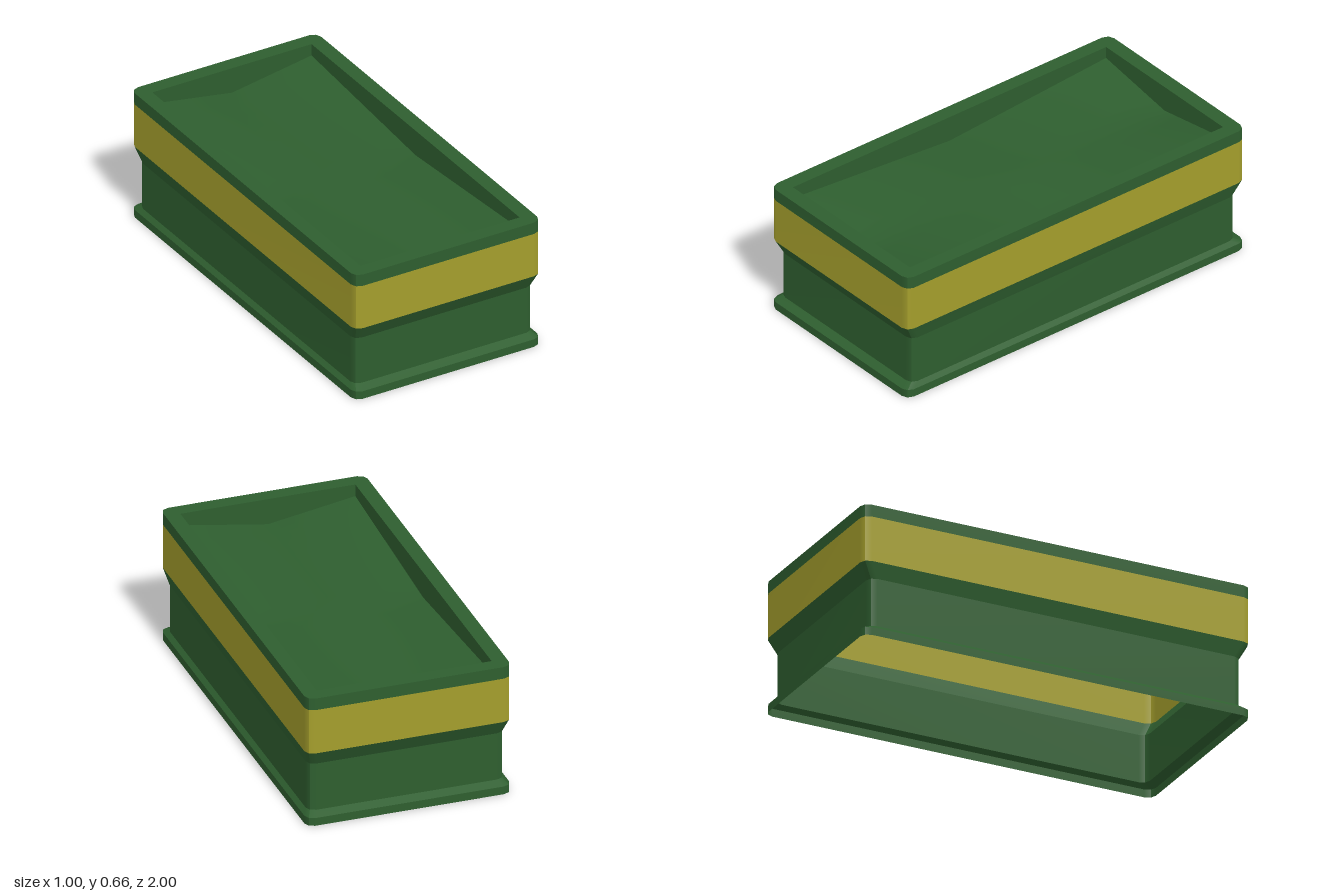
import * as THREE from 'three';

const green = new THREE.MeshStandardMaterial({ color: 0x2e5e2f, side: THREE.DoubleSide });
const yellow = new THREE.MeshStandardMaterial({ color: 0xa49e2c, side: THREE.DoubleSide });

const HX = 0.5, HZ = 1, RADIUS = 0.04;     // outer half sizes and corner radius
const IX = 0.427, IZ = 0.925, TOP = 0.66;  // opening half sizes and rim height
const CORNER = 0.6, EDGE = 0.53, MIDDLE = 0.555; // heights of the sunken top

// Rounded rectangle, counter-clockwise, with the given angle steps at each corner
function outline(steps) {
  const pts = [];
  [[1, 1], [-1, 1], [-1, -1], [1, -1]].forEach(([sx, sy], c) => {
    for (const step of steps) {
      const a = (c + step) * Math.PI / 2;
      pts.push(new THREE.Vector2(
        sx * (HX - RADIUS) + RADIUS * Math.cos(a),
        sy * (HZ - RADIUS) + RADIUS * Math.sin(a)));
    }
  });
  return pts;
}

// The doubled middle step leaves a sharp edge down each corner
const ring = (y, scale) => outline([0, 0.5, 0.5, 1])
  .map(p => new THREE.Vector3(p.x * scale, y, -p.y * scale));

// Closed strip of faces between two rings with equal point counts
function loft(a, b, flat = false) {
  const n = a.length, index = [];
  for (let i = 0; i < n; i++) {
    const j = (i + 1) % n;
    if (a[i].equals(a[j])) continue;
    index.push(i, j, n + j, i, n + j, n + i);
  }
  let geo = new THREE.BufferGeometry().setFromPoints([...a, ...b]);
  geo.setIndex(index);
  if (flat) geo = geo.toNonIndexed();
  geo.computeVertexNormals();
  return geo;
}

// Sunken top surface: high corners, lower edge middles, gentle rise in the centre
function fillHeight(x, z) {
  const u = Math.abs(x) / IX, v = Math.abs(z) / IZ;
  return MIDDLE + (EDGE - MIDDLE) * (u + v) + (CORNER - 2 * EDGE + MIDDLE) * u * v;
}

export function createModel() {
  const group = new THREE.Group();
  const add = (name, geo, material) => {
    const mesh = new THREE.Mesh(geo, material);
    mesh.name = name;
    group.add(mesh);
  };

  // Outer shell, open underneath: [name, low y, low scale, high y, high scale, material]
  [
    ['plinth', 0, 1, 0.04, 1, green],
    ['plinthBevel', 0.04, 1, 0.06, 0.96, green],
    ['waist', 0.06, 0.96, 0.3, 0.96, green],
    ['flare', 0.3, 0.96, 0.375, 1, green],
    ['colouredBand', 0.375, 1, 0.6, 1, yellow],
    ['upperBand', 0.6, 1, TOP, 1, green],
  ].forEach(([name, y0, s0, y1, s1, mat]) => add(name, loft(ring(y0, s0), ring(y1, s1)), mat));

  // Flat rim around the opening
  const rim = new THREE.Shape(outline([0, 0.5, 1]));
  rim.holes.push(new THREE.Path([[-IX, -IZ], [-IX, IZ], [IX, IZ], [IX, -IZ]]
    .map(p => new THREE.Vector2(...p))));
  add('rim', new THREE.ShapeGeometry(rim).rotateX(-Math.PI / 2).translate(0, TOP, 0), green);

  // Inner walls following the edge of the sunken surface
  const opening = [[1, 0], [1, -1], [0, -1], [-1, -1], [-1, 0], [-1, 1], [0, 1], [1, 1]]
    .map(([u, v]) => [u * IX, v * IZ]);
  add('innerWalls', loft(
    opening.map(([x, z]) => new THREE.Vector3(x, TOP, z)),
    opening.map(([x, z]) => new THREE.Vector3(x, fillHeight(x, z), z)), true), green);

  // Sunken top surface
  const fill = new THREE.PlaneGeometry(2 * IX, 2 * IZ, 8, 16).rotateX(-Math.PI / 2);
  const pos = fill.attributes.position;
  for (let i = 0; i < pos.count; i++) pos.setY(i, fillHeight(pos.getX(i), pos.getZ(i)));
  fill.computeVertexNormals();
  add('sunkenTop', fill, green);

  return group;
}
